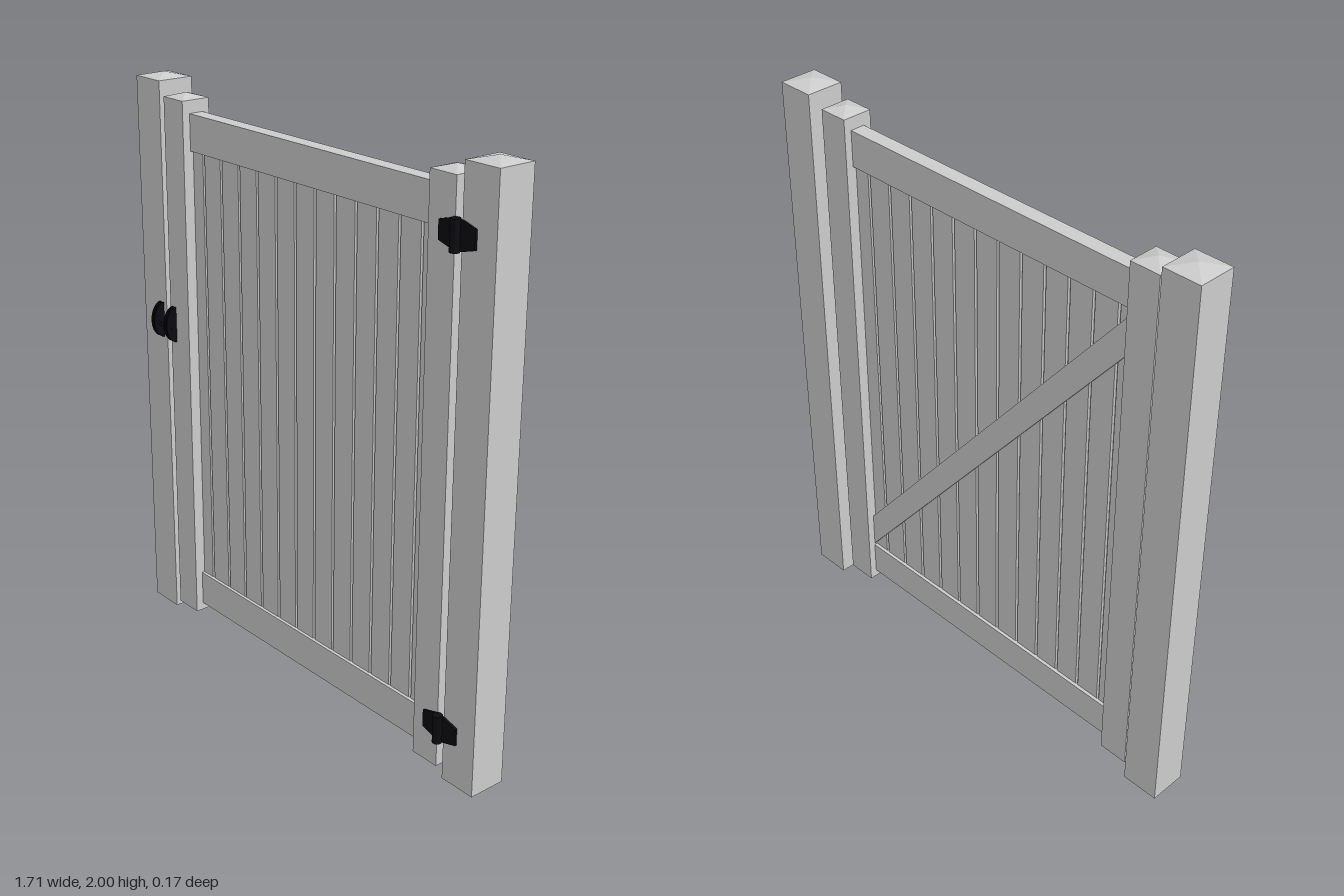
import * as THREE from 'three';

const vinyl = new THREE.MeshStandardMaterial({ color: 0xcccccc, flatShading: true });
const iron = new THREE.MeshStandardMaterial({ color: 0x0b0b10 });

function add(parent, name, geometry, material, x = 0, y = 0, z = 0) {
  const mesh = new THREE.Mesh(geometry, material);
  mesh.name = name;
  mesh.position.set(x, y, z);
  parent.add(mesh);
  return mesh;
}

function box(parent, name, material, [x0, x1], [y0, y1], [z0, z1]) {
  return add(parent, name, new THREE.BoxGeometry(x1 - x0, y1 - y0, z1 - z0), material,
    (x0 + x1) / 2, (y0 + y1) / 2, (z0 + z1) / 2);
}

function extrude(points, depth) {
  const shape = new THREE.Shape(points.map(([x, y]) => new THREE.Vector2(x, y)));
  return new THREE.ExtrudeGeometry(shape, { depth, bevelEnabled: false });
}

const FRONT = 0.046; // shared front plane of all posts

// Square post with a low pyramid cap
function post(parent, name, x, width, y0, y1, capHeight) {
  const group = new THREE.Group();
  group.name = name;
  const z = FRONT - width / 2;
  box(group, 'postBody', vinyl, [x - width / 2, x + width / 2], [y0, y1], [z - width / 2, z + width / 2]);
  const cap = new THREE.CylinderGeometry(0, width / Math.SQRT2, capHeight, 4);
  cap.rotateY(Math.PI / 4);
  add(group, 'postCap', cap, vinyl, x, y1 + capHeight / 2, z);
  parent.add(group);
}

// Tongue-and-groove panel: one cross-section with V grooves on both faces
function panelGeometry(x0, x1, zBack, zFront, height) {
  const front = [[x0, -zFront]], back = [[x0, -zBack]];
  const half = 0.005, depth = 0.005;
  for (let i = 0; i < 12; i++) {
    const x = -0.533 + 0.0962 * i;
    front.push([x - half, -zFront], [x, -zFront + depth], [x + half, -zFront]);
    back.push([x - half, -zBack], [x, -zBack - depth], [x + half, -zBack]);
  }
  front.push([x1, -zFront]);
  back.push([x1, -zBack]);
  return extrude([...front, ...back.reverse()], height).rotateX(-Math.PI / 2);
}

// Tapered strap hinge with a central barrel
function hinge(parent, name, y) {
  const group = new THREE.Group();
  group.name = name;
  for (const side of [-1, 1]) {
    const leaf = extrude([[0, -0.045], [0.02, -0.045], [0.073, -0.03],
      [0.073, 0.03], [0.02, 0.045], [0, 0.045]], 0.007);
    if (side < 0) leaf.rotateZ(Math.PI);
    add(group, 'hingeLeaf', leaf, iron, 0, 0, FRONT);
  }
  add(group, 'hingeBarrel', new THREE.CylinderGeometry(0.016, 0.016, 0.098, 20), iron, 0, 0, 0.059);
  group.position.set(0.708, y, 0);
  parent.add(group);
}

// Latch: two rounded brackets joined by a bar
function latch(parent) {
  const group = new THREE.Group();
  group.name = 'latch';
  const bracket = (scale, width) => {
    const shape = new THREE.Shape();
    shape.moveTo(0, -0.064 * scale);
    shape.absellipse(0, 0, 0.041 * scale, 0.064 * scale, -Math.PI / 2, Math.PI / 2, false, 0);
    shape.closePath();
    const g = new THREE.ExtrudeGeometry(shape, { depth: width, bevelEnabled: false, curveSegments: 20 });
    return g.translate(0, 0, -width / 2).rotateY(-Math.PI / 2);
  };
  for (const x of [-0.75, -0.676]) {
    for (const dx of [-0.0075, 0.0075]) {
      add(group, 'latchFlange', bracket(1, 0.006), iron, x + dx, 1.141, FRONT);
    }
    add(group, 'latchCore', bracket(0.9, 0.01), iron, x, 1.141, FRONT);
  }
  const bar = new THREE.CylinderGeometry(0.005, 0.005, 0.098, 12).rotateZ(Math.PI / 2);
  add(group, 'latchBar', bar, iron, -0.713, 1.13, 0.065);
  parent.add(group);
}

export function createModel() {
  const model = new THREE.Group();
  model.name = 'gate';

  // Fixed posts and the gate's own stiles
  for (const side of [-1, 1]) {
    const label = side < 0 ? 'Right' : 'Left';
    post(model, 'fixedPost' + label, side * 0.789, 0.133, 0, 1.984, 0.016);
    post(model, 'gateStile' + label, side * 0.643 - 0.002, 0.107, 0.03, 1.936, 0.016);
  }

  // Rails
  const span = [-0.6, 0.595], railDepth = [-0.035, 0.018];
  box(model, 'topRail', vinyl, span, [1.766, 1.892], railDepth);
  box(model, 'bottomRail', vinyl, span, [0.057, 0.184], railDepth);

  // Infill boards
  add(model, 'boardPanel', panelGeometry(-0.6, 0.595, -0.023, 0.007, 1.61), vinyl, 0, 0.17, 0);

  // Diagonal brace on the back, low at the hinge side
  const brace = extrude([[0.592, 0.186], [0.592, 0.318], [-0.597, 1.764], [-0.597, 1.632]], 0.013);
  add(model, 'diagonalBrace', brace, vinyl, 0, 0, -0.034);

  // Hardware
  hinge(model, 'upperHinge', 1.772);
  hinge(model, 'lowerHinge', 0.182);
  latch(model);

  return model;
}
